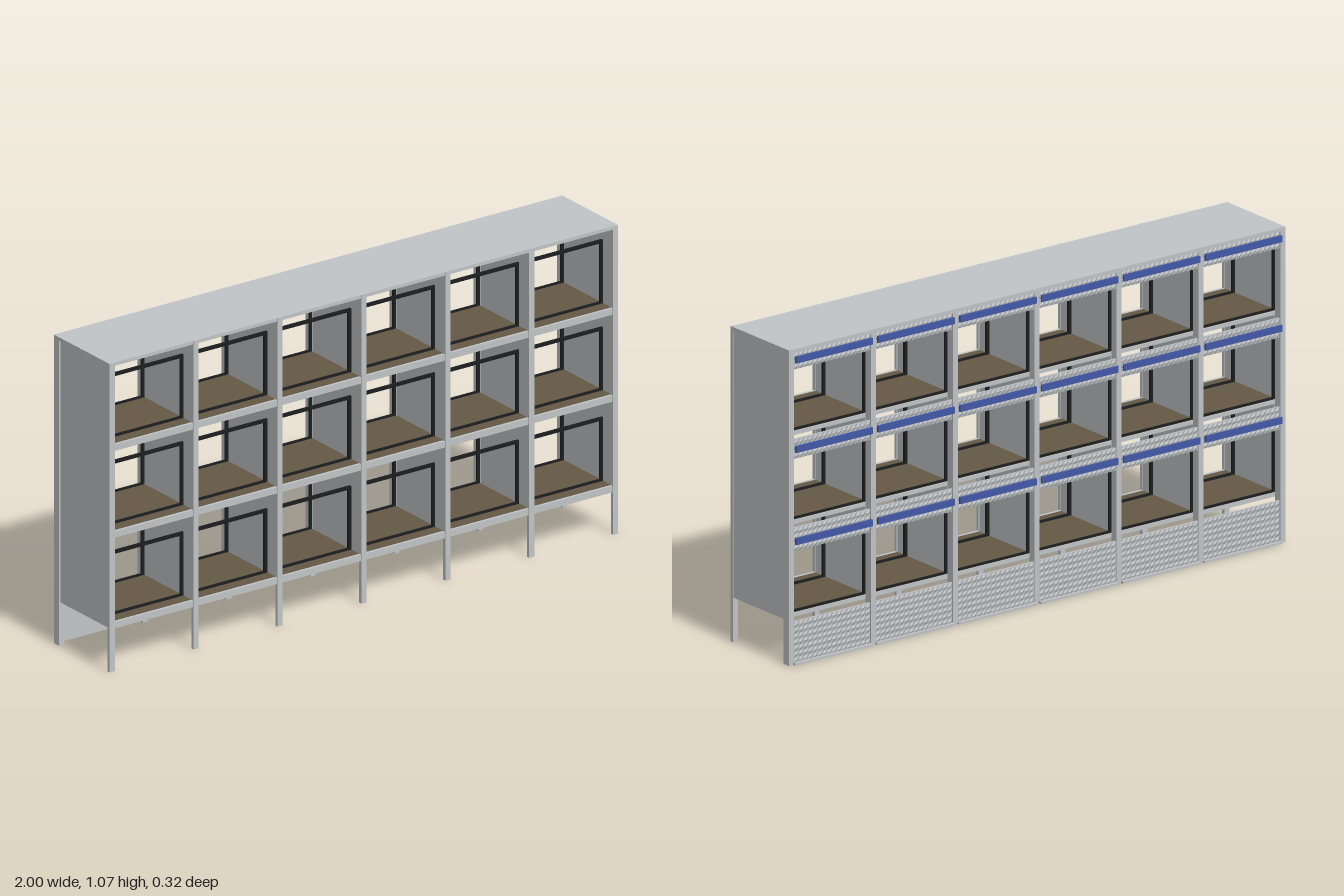
import * as THREE from 'three';

const paint = (name, color, extra = {}) => {
  const m = new THREE.MeshStandardMaterial({ color, ...extra });
  m.name = name;
  return m;
};

export function createModel() {
  const root = new THREE.Group();
  root.name = 'terraceBlock';
  const grey = paint('paleGrey', 0xc0c4c6);
  const cladding = paint('claddingGrey', 0xb4b8ba, { flatShading: true, side: THREE.DoubleSide });
  const brown = paint('floorBrown', 0x655944);
  const black = paint('frameBlack', 0x1c1d1e);
  const blue = paint('stripBlue', 0x4358a8);

  // Box given by its lower and upper limits on each axis
  const box = (name, mat, x0, x1, y0, y1, z0, z1, parent = root) => {
    const m = new THREE.Mesh(new THREE.BoxGeometry(x1 - x0, y1 - y0, z1 - z0), mat);
    m.position.set((x0 + x1) / 2, (y0 + y1) / 2, (z0 + z1) / 2);
    m.name = name;
    parent.add(m);
    return m;
  };

  // Rectangular window frame made of four bars
  const windowFrame = (name, x0, x1, y0, y1, z0, z1) => {
    const g = new THREE.Group();
    g.name = name;
    const t = 0.011;
    box('sill', black, x0, x1, y0, y0 + t * 0.6, z0, z1, g);
    box('head', black, x0, x1, y1 - t, y1, z0, z1, g);
    box('jamb', black, x0, x0 + t, y0, y1, z0, z1, g);
    box('jamb', black, x1 - t, x1, y0, y1, z0, z1, g);
    root.add(g);
  };

  // Cladding panel with a fine embossed grid on its outer face
  const panel = (x0, x1, y0, y1) => {
    box('claddingBacking', grey, x0, x1, y0, y1, -0.142, -0.136);
    const w = x1 - x0, h = y1 - y0;
    const nx = 32, ny = Math.max(2, 2 * Math.round(h / 0.02));
    const geo = new THREE.PlaneGeometry(w, h, nx, ny);
    const p = geo.attributes.position;
    for (let i = 0; i < p.count; i++) {
      const col = i % (nx + 1), row = Math.floor(i / (nx + 1));
      p.setZ(i, col % 2 && row % 2 ? 0.004 : 0);
    }
    geo.computeVertexNormals();
    const m = new THREE.Mesh(geo, cladding);
    m.rotation.y = Math.PI;
    m.position.set((x0 + x1) / 2, (y0 + y1) / 2, -0.1435);
    m.name = 'embossedCladding';
    root.add(m);
  };

  const pitch = 0.33, bays = 6, top = 1.065;
  const floors = [0.15, 0.463, 0.763];
  const heads = [0.387, 0.698, 1.0];
  const panelTops = [0.46, 0.76, 1.053];

  // Front posts, rear posts and party walls
  for (let i = 0; i <= bays; i++) {
    const x = -0.99 + i * pitch;
    box('frontPost', grey, x - 0.01, x + 0.01, 0, top, 0.148, 0.16);
    box('rearPost', grey, x - 0.01, x + 0.01, 0, top, -0.146, -0.118);
    box('partyWall', grey, x - 0.007, x + 0.007, 0.15, 1.055, -0.112, 0.149);
  }

  // Roof and its edge beams
  box('roof', grey, -1, 1, 1.053, top, -0.146, 0.158);

  // Floor slabs with brown decking and a front edge beam
  floors.forEach((y) => {
    box('floorSlab', grey, -0.99, 0.99, y, y + 0.013, -0.117, 0.149);
    box('floorBeam', grey, -0.99, 0.99, y - 0.004, y + 0.018, 0.147, 0.157);
  });

  for (let i = 0; i < bays; i++) {
    const x0 = -0.99 + i * pitch + 0.008, x1 = x0 + pitch - 0.016;

    // Plinth cladding and foot rail
    panel(x0 + 0.003, x1 - 0.003, 0.004, 0.144);
    box('footRail', grey, x0, x1, 0, 0.008, -0.155, -0.14);

    floors.forEach((y, k) => {
      box('decking', brown, x0 - 0.001, x1 + 0.001, y + 0.013, y + 0.017, -0.112, 0.147);
      // Rear window and recessed front window
      windowFrame('rearWindow', x0, x1, y + 0.017, heads[k], -0.118, -0.112);
      windowFrame('frontWindow', x0, x1, y + 0.017, heads[k], 0.094, 0.102);
      // Rear band: cladding, blue strip and its bracket
      panel(x0 + 0.003, x1 - 0.003, heads[k] - 0.004, panelTops[k]);
      const c = heads[k] + 0.031;
      box('stripBracket', grey, x0 + 0.004, x1 - 0.004, c - 0.004, c + 0.004, -0.152, -0.142);
      box('blueStrip', blue, x0 + 0.003, x1 - 0.003, c - 0.011, c + 0.011, -0.158, -0.151);
    });
  }
  return root;
}
